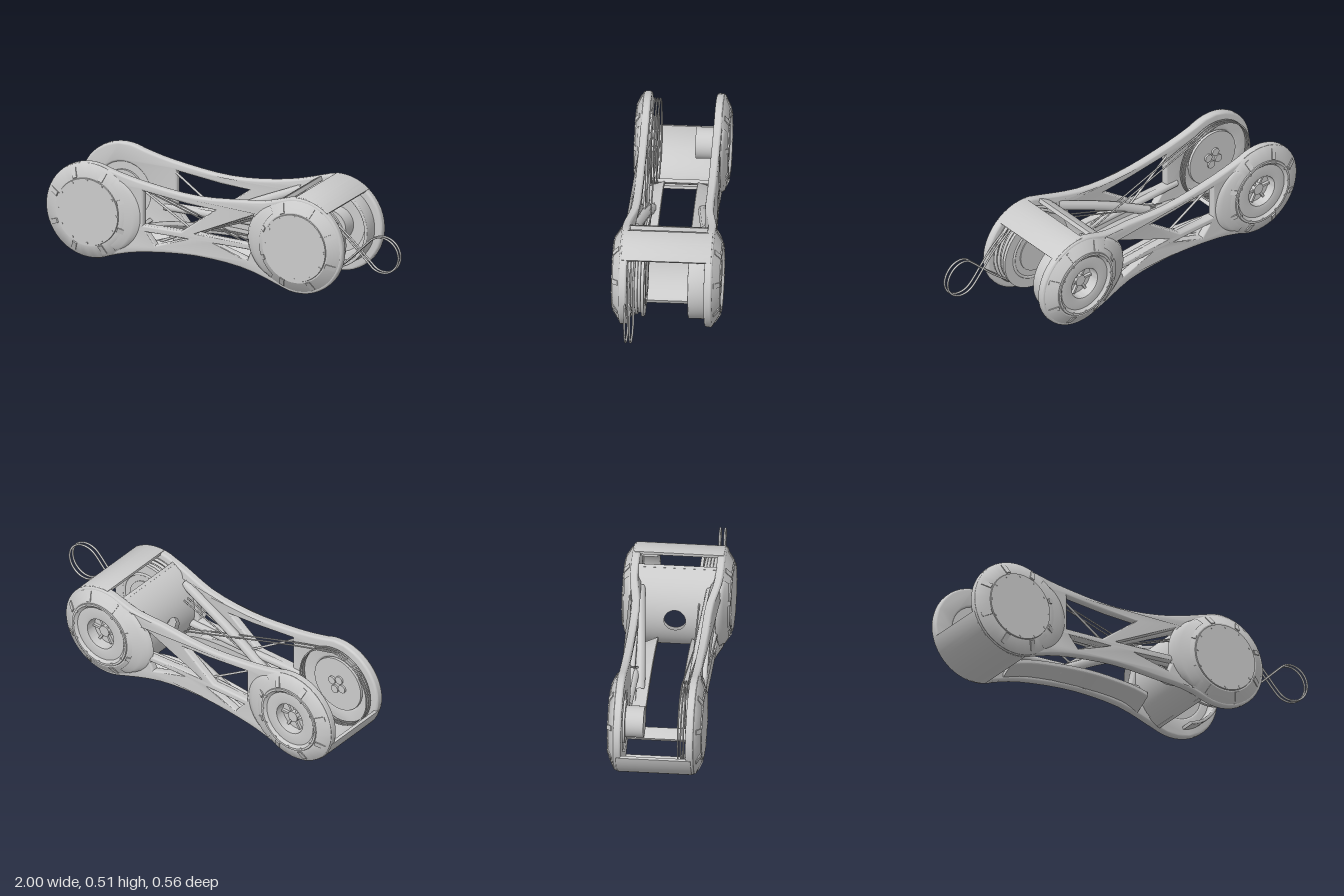
import * as THREE from 'three';
import { toCreasedNormals } from 'three/addons/utils/BufferGeometryUtils.js';
import { ParametricGeometry } from 'three/addons/geometries/ParametricGeometry.js';

const V2 = (x, y) => new THREE.Vector2(x, y);
const V3 = (x, y, z) => new THREE.Vector3(x, y, z);
const CY = 0.255, REAR = -0.75, FORE = 0.45, R = 0.253;
const rad = THREE.MathUtils.degToRad;

export function createModel() {
  const root = new THREE.Group();
  const mat = new THREE.MeshStandardMaterial({ color: 0xcccccc, side: THREE.DoubleSide });

  const add = (name, geo, parent = root) => {
    const m = new THREE.Mesh(geo, mat);
    m.name = name;
    parent.add(m);
    return m;
  };
  const arc = (cx, r, a, b, n = 28) => Array.from({ length: n + 1 }, (_, i) => {
    const t = rad(a + (b - a) * i / n);
    return V2(cx + r * Math.cos(t), CY + r * Math.sin(t));
  });
  const spline = (pts, n = 16) => new THREE.SplineCurve(pts.map(p => V2(...p))).getPoints(n);
  // Flat outline thickened along z and centred on z = 0
  const slab = (shape, depth, bevel) => {
    const g = new THREE.ExtrudeGeometry(shape, {
      depth: depth - 2 * bevel, bevelEnabled: bevel > 0, bevelSize: bevel,
      bevelThickness: bevel, bevelOffset: -bevel, bevelSegments: 3, curveSegments: 32,
    });
    return toCreasedNormals(g.translate(0, 0, bevel - depth / 2), 0.7);
  };
  const rod = (name, pts, r, n = 40) =>
    add(name, new THREE.TubeGeometry(new THREE.CatmullRomCurve3(pts), n, r, 8));
  const drum = (name, x, z, r, depth) => {
    const m = add(name, new THREE.CylinderGeometry(r, r, depth, 40).rotateX(Math.PI / 2));
    m.position.set(x, CY, z);
    return m;
  };
  const ring = (name, x, z, r, tube) => {
    const m = add(name, new THREE.TorusGeometry(r, tube, 8, 56));
    m.position.set(x, CY, z);
  };

  // Truss side plates, splayed outwards at the fore joint
  const upper = [[0.365, 0.492], [0.18, 0.445], [-0.15, 0.415], [-0.48, 0.45], [-0.685, 0.497]];
  const lower = [[-0.685, 0.013], [-0.48, 0.07], [-0.15, 0.1], [0.18, 0.07], [0.365, 0.018]];
  const windows = [
    [[-0.45, 0.22], [-0.235, 0.22], [-0.04, 0.362], [-0.2, 0.37], [-0.45, 0.4]],
    [[-0.15, 0.22], [0.17, 0.22], [0.19, 0.3], [0.185, 0.372]],
    [[-0.43, 0.185], [-0.2, 0.185], [-0.38, 0.125]],
    [[-0.04, 0.185], [0.17, 0.185], [0.15, 0.135]],
  ];
  for (const s of [1, -1]) {
    const shape = new THREE.Shape([
      ...arc(REAR, R, 75, 285).slice(0, -1), ...spline(lower).slice(0, -1),
      ...arc(FORE, R, -110, 110).slice(0, -1), ...spline(upper).slice(0, -1),
    ]);
    for (const w of windows) shape.holes.push(new THREE.Path(w.map(p => V2(...p))));
    for (const x of [REAR, FORE]) shape.holes.push(new THREE.Path(arc(x, 0.15, 0, 360).slice(1)));
    const g = slab(shape, 0.042, 0.012), p = g.attributes.position;
    for (let i = 0; i < p.count; i++) {
      const t = THREE.MathUtils.smoothstep(p.getX(i), 0.05, 0.32);
      p.setZ(i, p.getZ(i) + s * (0.184 + 0.032 * t));
    }
    add(s > 0 ? 'frontSidePlate' : 'backSidePlate', g);

    // Lower flange, rising from the plate edge towards the middle
    const low = spline([[-0.6, 0.04], [-0.45, 0.08], [-0.15, 0.105], [0.1, 0.09], [0.215, 0.065]]);
    const band = new THREE.Shape([...low, ...low.map(v => V2(v.x, v.y + 0.025)).reverse()]);
    const flange = slab(band, 0.11, 0.006), f = flange.attributes.position;
    for (let i = 0; i < f.count; i++) f.setY(i, f.getY(i) + 0.5 * (0.055 - s * f.getZ(i)));
    flange.computeVertexNormals();
    add('lowerFlange', flange).position.z = s * 0.138;

    // Inner braces of the truss
    rod('diagonalBrace', [V3(-0.3, 0.15, s * 0.13), V3(-0.05, 0.28, s * 0.15), V3(0.26, 0.41, s * 0.18)], 0.026);
    rod('bentBrace', [V3(-0.52, 0.2, s * 0.17), V3(-0.15, 0.2, s * 0.16), V3(0.22, 0.19, s * 0.17)], 0.02);
    rod('thinBrace', [V3(-0.47, 0.4, s * 0.17), V3(-0.18, 0.21, s * 0.15)], 0.006);
    rod('thinBrace', [V3(0.18, 0.39, s * 0.17), V3(-0.4, 0.12, s * 0.15)], 0.006);
  }

  // Joint hubs: capped at the front, open dish with spokes at the back
  const hub = (name, x, s, zIn, zBase, zTop) => {
    const g = new THREE.Group();
    g.name = name;
    g.position.set(x, CY, 0);
    g.rotation.x = s * Math.PI / 2;
    root.add(g);
    const profile = [V2(0, zIn), V2(0.235, zIn), V2(0.25, zIn + 0.01), V2(0.25, zBase - 0.006), V2(0.244, zBase),
      V2(0.185, zTop - 0.006), V2(0.178, zTop - 0.006), V2(0.176, zTop)];
    if (s > 0) profile.push(V2(0, zTop));
    else profile.push(V2(0.165, zTop), V2(0.15, zTop - 0.014), V2(0.1, zTop - 0.008), V2(0.085, zTop - 0.012),
      V2(0.08, zIn + 0.012), V2(0, zIn + 0.012));
    add('hubShell', toCreasedNormals(new THREE.LatheGeometry(profile, 56), 0.5), g);

    // Flared collar blending the hub into the truss, fading out to both sides
    const collar = [V2(0.3, zIn + 0.01), V2(0.285, zBase - 0.004), V2(0.25, zBase + 0.01), V2(0.205, zTop - 0.012)];
    const mid = x < 0 ? Math.PI / 2 : -Math.PI / 2;
    const flare = new THREE.LatheGeometry(collar, 32, mid - 0.9, 1.8), p = flare.attributes.position;
    for (let i = 0; i < p.count; i++) {
      const r = Math.hypot(p.getX(i), p.getZ(i));
      const off = Math.asin(Math.min(1, Math.abs(p.getZ(i)) / r)) / 0.9;
      const k = 1 - Math.max(0, r - 0.24) / r * off * off;
      p.setX(i, p.getX(i) * k);
      p.setZ(i, p.getZ(i) * k);
    }
    flare.computeVertexNormals();
    add('hubCollar', flare, g);

    const slope = Math.atan2(zTop - zBase, 0.065);
    for (let i = 0; i < 8; i++) {
      const arm = new THREE.Group();
      arm.name = 'hubRib';
      arm.rotation.y = (i + 0.5) * Math.PI / 4;
      g.add(arm);
      const rib = add('rib', new THREE.BoxGeometry(0.055, 0.01, 0.025), arm);
      rib.position.set(0.208, (zBase + zTop) / 2, 0);
      rib.rotation.z = -slope;
    }
    for (let i = 0; i < 12; i++) {
      const a = i * Math.PI / 6;
      add('hubBolt', new THREE.CylinderGeometry(0.006, 0.006, 0.004, 8), g)
        .position.set(0.165 * Math.cos(a), zTop, 0.165 * Math.sin(a));
    }
    if (s < 0) {
      for (let i = 0; i < 6; i++) {
        const spoke = add('hubSpoke', new THREE.BoxGeometry(0.055, 0.015, 0.012).translate(0.05, 0, 0), g);
        spoke.position.y = zIn + 0.02;
        spoke.rotation.y = i * Math.PI / 3;
      }
      add('hubBoss', new THREE.CylinderGeometry(0.03, 0.03, 0.03, 24), g).position.y = zIn + 0.02;
    }
  };
  for (const s of [1, -1]) {
    const side = s > 0 ? 'front' : 'back';
    hub(side + 'RearHub', REAR, s, 0.17, 0.209, 0.24);
    hub(side + 'ForeHub', FORE, s, 0.2, 0.234, 0.277);
  }

  // Straps joining the plates: below the rear joint, above the fore joint
  const strap = (name, x, a, b, width, r0 = 0.24, r1 = 0.256) =>
    add(name, slab(new THREE.Shape([...arc(x, r1, a, b), ...arc(x, r0, b, a)]), width, 0.005));
  strap('rearStrap', REAR, 195, 283, 0.38);
  strap('foreStrap', FORE, 94, 50, 0.456);
  strap('rearCrossWall', REAR, -58, -40, 0.36, 0.195, 0.215);
  // Motor guard curving round the open end of the fore joint
  strap('foreMotorGuard', FORE, -78, 78, 0.088, 0.195, 0.212).position.z = -0.155;

  // Curved wall behind the fore joint, with a round cable hole
  const wall = r => new ParametricGeometry((u, v, out) => {
    const a = -u * 2 * Math.PI, c = Math.cos(a), d = Math.sin(a);
    const k = Math.min(0.2 / Math.max(Math.abs(c), 1e-6), 0.27 / Math.max(Math.abs(d), 1e-6));
    const q = 0.055 + (k - 0.055) * v, t = Math.PI - q * d / 0.235;
    out.set(FORE + r * Math.cos(t), CY + r * Math.sin(t), q * c);
  }, 96, 14);
  add('cableWallOuter', wall(0.25));
  add('cableWallInner', wall(0.23));
  for (const a of [114, 246]) strap('cableWallLip', FORE, a - 2, a + 2, 0.4, 0.229, 0.251);

  // Drives and cable drums inside the joints
  drum('rearMotor', REAR, -0.12, 0.08, 0.11);
  drum('rearMotorFlange', REAR, -0.165, 0.11, 0.015);
  drum('rearInnerDisc', REAR, 0.163, 0.15, 0.014);
  drum('foreMotor', FORE, -0.155, 0.09, 0.085);
  drum('foreDrum', FORE, 0.16, 0.17, 0.08);
  drum('foreDrumCap', FORE, 0.115, 0.11, 0.02);
  drum('foreDrumFlange', FORE, 0.197, 0.215, 0.008);
  drum('foreDrumFlange', FORE, 0.118, 0.21, 0.016);
  ring('foreDrumRing', FORE, 0.112, 0.15, 0.008);
  for (let i = 0; i < 4; i++) {
    const a = i * Math.PI / 2 + 0.4;
    drum('discLobe', REAR + 0.035 * Math.cos(a), 0.153, 0.022, 0.014).position.y += 0.035 * Math.sin(a);
  }

  // Wound cables and the straight runs between joints
  [0.122, 0.136, 0.15].forEach(z => ring('rearCable', REAR, z, 0.215, 0.004));
  [0.135, 0.15, 0.168, 0.185].forEach((z, i) => ring('foreCable', FORE, z, 0.185 + 0.008 * i, 0.008));
  for (const z of [0.122, 0.15]) {
    rod('cableRun', [V3(REAR, CY + 0.215, z), V3(-0.5, 0.4, z), V3(0.25, 0.15, z)], 0.004);
    rod('cableRun', [V3(REAR, CY - 0.215, z), V3(-0.5, 0.1, z), V3(0.25, 0.36, z)], 0.004);
  }

  // Cable loops reaching out of the fore joint
  for (const z of [0.16, 0.185]) {
    const loop = [V3(0.58, 0.42, z), V3(0.69, 0.335, z)];
    for (let i = 0; i <= 14; i++) {
      const a = rad(-142 + 284 * i / 14);
      loop.push(V3(0.9 + 0.095 * Math.cos(a), 0.26 + 0.095 * Math.sin(a), z + 0.008 * (i / 7 - 1)));
    }
    loop.push(V3(0.69, 0.19, z), V3(0.58, 0.1, z));
    rod('cableLoop', loop, 0.005, 90);
  }
  return root;
}
